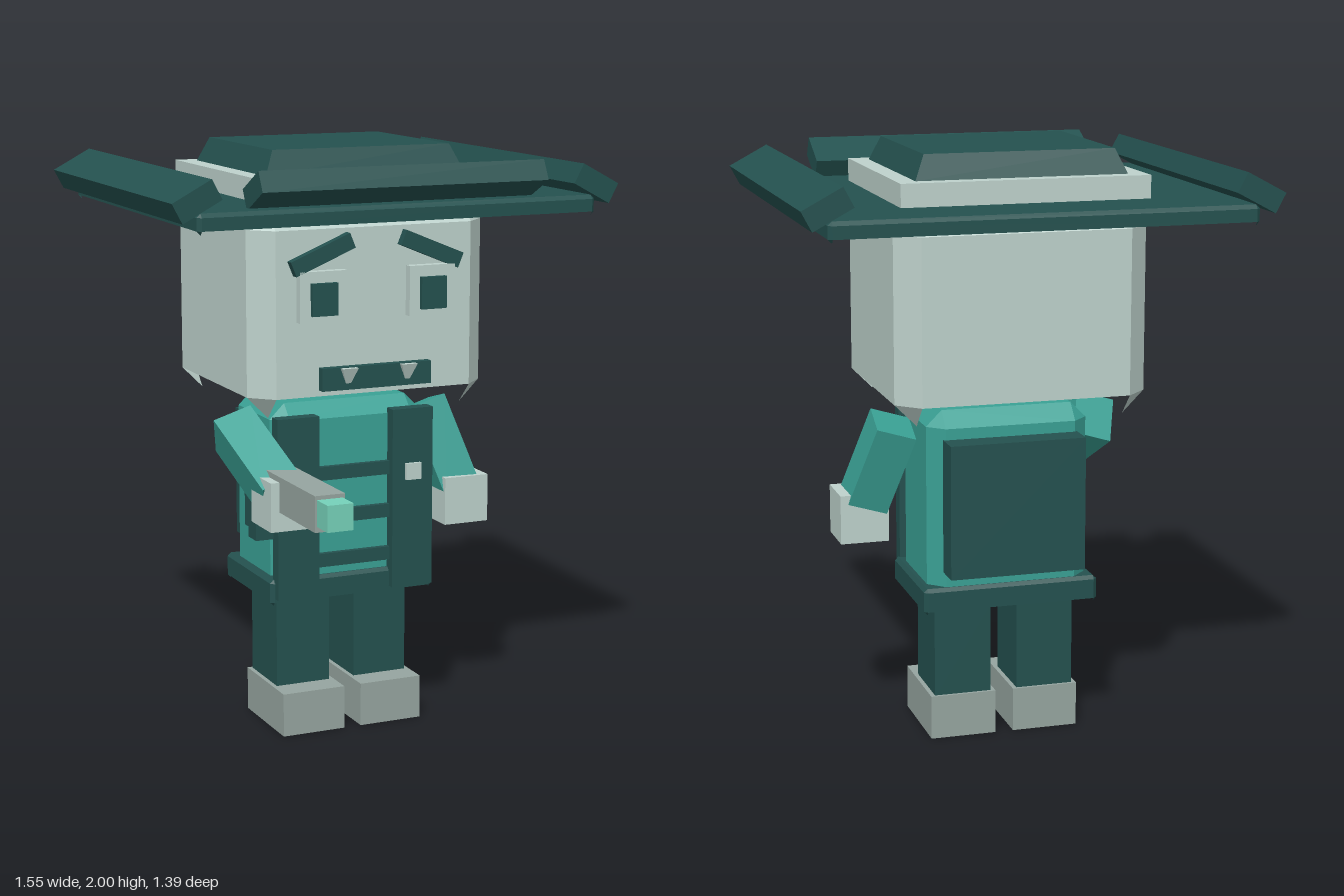
import * as THREE from 'three';

function mat(name, color) {
  const m = new THREE.MeshStandardMaterial({ color, side: THREE.DoubleSide, flatShading: true });
  m.name = name;
  return m;
}

// Box with chamfered edges; the underside is open, leaving only its corner facets.
function chamferBox(w, h, d, c) {
  const X = w / 2, Y = h / 2, Z = d / 2, x = X - c, y = Y - c, z = Z - c;
  const out = [];
  const tri = (...p) => {
    const [a, b, e] = p.map(v => new THREE.Vector3(...v));
    const n = b.clone().sub(a).cross(e.clone().sub(a));
    const outward = n.dot(a.clone().add(b).add(e)) > 0;
    for (const v of outward ? [a, b, e] : [a, e, b]) out.push(v.x, v.y, v.z);
  };
  const quad = (a, b, e, f) => { tri(a, b, e); tri(a, e, f); };
  quad([-x, Y, -z], [x, Y, -z], [x, Y, z], [-x, Y, z]);
  for (const s of [-1, 1]) {
    // sides and top bevels
    quad([s * X, -y, -z], [s * X, -y, z], [s * X, y, z], [s * X, y, -z]);
    quad([-x, -y, s * Z], [x, -y, s * Z], [x, y, s * Z], [-x, y, s * Z]);
    quad([s * X, y, -z], [s * X, y, z], [s * x, Y, z], [s * x, Y, -z]);
    quad([-x, y, s * Z], [x, y, s * Z], [x, Y, s * z], [-x, Y, s * z]);
    for (const t of [-1, 1]) {
      // upright chamfers and corner facets
      quad([s * X, -y, t * z], [s * x, -y, t * Z], [s * x, y, t * Z], [s * X, y, t * z]);
      tri([s * X, y, t * z], [s * x, y, t * Z], [s * x, Y, t * z]);
      tri([s * X, -y, t * z], [s * x, -y, t * Z], [s * x, -Y, t * z]);
    }
  }
  const g = new THREE.BufferGeometry();
  g.setAttribute('position', new THREE.Float32BufferAttribute(out, 3));
  g.computeVertexNormals();
  return g;
}

export function createModel() {
  const model = new THREE.Group();
  model.name = 'hatFigure';
  const dark = mat('darkTeal', 0x24514f);
  const teal = mat('teal', 0x3aa195);
  const pale = mat('paleGrey', 0xbed2cc);
  const grey = mat('midGrey', 0x96a5a0);
  const mint = mat('mint', 0x76d2ba);

  const add = (name, geo, material, x, y, z) => {
    const m = new THREE.Mesh(geo, material);
    m.name = name;
    m.position.set(x, y, z);
    model.add(m);
    return m;
  };
  // Parts given by their extents along each axis
  const box = (name, material, x0, x1, y0, y1, z0, z1, chamfer = 0) => add(name,
    chamfer ? chamferBox(x1 - x0, y1 - y0, z1 - z0, chamfer) : new THREE.BoxGeometry(x1 - x0, y1 - y0, z1 - z0),
    material, (x0 + x1) / 2, (y0 + y1) / 2, (z0 + z1) / 2);

  // Legs and shoes
  for (const s of [-1, 1]) {
    const c = s * 0.144;
    box('leg', dark, c - 0.098, c + 0.098, 0.14, 0.455, -0.205, 0.02);
    box('shoe', grey, c - 0.113, c + 0.113, 0, 0.15, -0.215, 0.115);
  }

  // Torso, belt, vest and backpack
  box('torso', teal, -0.275, 0.275, 0.465, 1.145, -0.285, 0.1, 0.053);
  box('belt', dark, -0.3, 0.3, 0.465, 0.555, -0.3, 0.117, 0.012);
  for (const s of [-1, 1]) {
    const c = s * 0.21;
    box('vestPanel', dark, c - 0.075, c + 0.075, 0.49, 1.11, 0.095, 0.143);
    box('button', pale, c - 0.028, c + 0.028, 0.865, 0.922, 0.13, 0.155);
  }
  for (const y of [0.607, 0.757, 0.907]) box('vestStrap', dark, -0.14, 0.14, y - 0.023, y + 0.023, 0.095, 0.12);
  box('backpack', dark, -0.23, 0.23, 0.605, 1.055, -0.375, -0.27);
  box('holster', dark, -0.347, -0.265, 0.73, 0.89, 0.0, 0.1);
  box('holsterTip', dark, -0.347, -0.275, 0.695, 0.73, 0.03, 0.1);

  // Arms and hands
  const armGeo = new THREE.BoxGeometry(0.138, 0.35, 0.155);
  add('leftArm', armGeo, teal, 0.4, 0.915, -0.045).rotation.set(-0.28, 0, 0.3, 'ZYX');
  add('rightArm', armGeo, teal, -0.335, 0.96, 0.085).rotation.set(-1.0, 0, 0.3, 'ZYX');
  box('leftHand', pale, 0.367, 0.532, 0.672, 0.838, -0.087, 0.08);
  box('rightHand', pale, -0.385, -0.22, 0.78, 0.944, 0.157, 0.325);

  // Blaster
  box('barrel', grey, -0.355, -0.252, 0.845, 0.963, 0.155, 0.613);
  box('muzzle', mint, -0.348, -0.26, 0.864, 0.95, 0.613, 0.695);

  // Head and face
  box('head', pale, -0.42, 0.42, 1.135, 1.825, -0.465, 0.285, 0.073);
  for (const s of [-1, 1]) {
    const c = s * 0.194;
    box('eye', pale, c - 0.082, c + 0.082, 1.455, 1.62, 0.27, 0.315);
    box('pupil', dark, c - 0.045, c + 0.045, 1.477, 1.583, 0.3, 0.331);
    add('eyebrow', new THREE.BoxGeometry(0.223, 0.052, 0.04), dark, c, 1.672, 0.295).rotation.z = -s * 0.39;
    // Inverted four-sided fang
    const fang = new THREE.ConeGeometry(0.04, 0.075, 4).rotateY(Math.PI / 4).rotateX(Math.PI);
    add('fang', fang, pale, s * 0.106, 1.263, 0.305);
  }
  box('mouth', dark, -0.198, 0.192, 1.228, 1.303, 0.27, 0.314);

  // Hat: brim, pale band, tapered crown
  box('hatBrim', dark, -0.69, 0.69, 1.778, 1.845, -0.695, 0.505, 0.013);
  box('hatBand', pale, -0.41, 0.41, 1.835, 1.92, -0.46, 0.265);
  const crown = new THREE.BoxGeometry(0.7, 0.08, 0.625);
  const p = crown.attributes.position;
  for (let i = 0; i < p.count; i++) {
    if (p.getY(i) > 0) p.setXYZ(i, p.getX(i) * 0.9, p.getY(i), p.getZ(i) * 0.9);
  }
  crown.computeVertexNormals();
  add('hatCrown', crown, dark, 0, 1.96, -0.097);

  // Tilted brim flaps
  for (const s of [-1, 1]) {
    add('sideFlap', new THREE.BoxGeometry(0.147, 0.072, 1.2), dark, s * 0.691, 1.882, -0.095).rotation.z = -s * 0.49;
  }
  add('frontFlap', new THREE.BoxGeometry(0.987, 0.072, 0.147), dark, 0, 1.902, 0.459).rotation.x = -0.48;

  return model;
}
